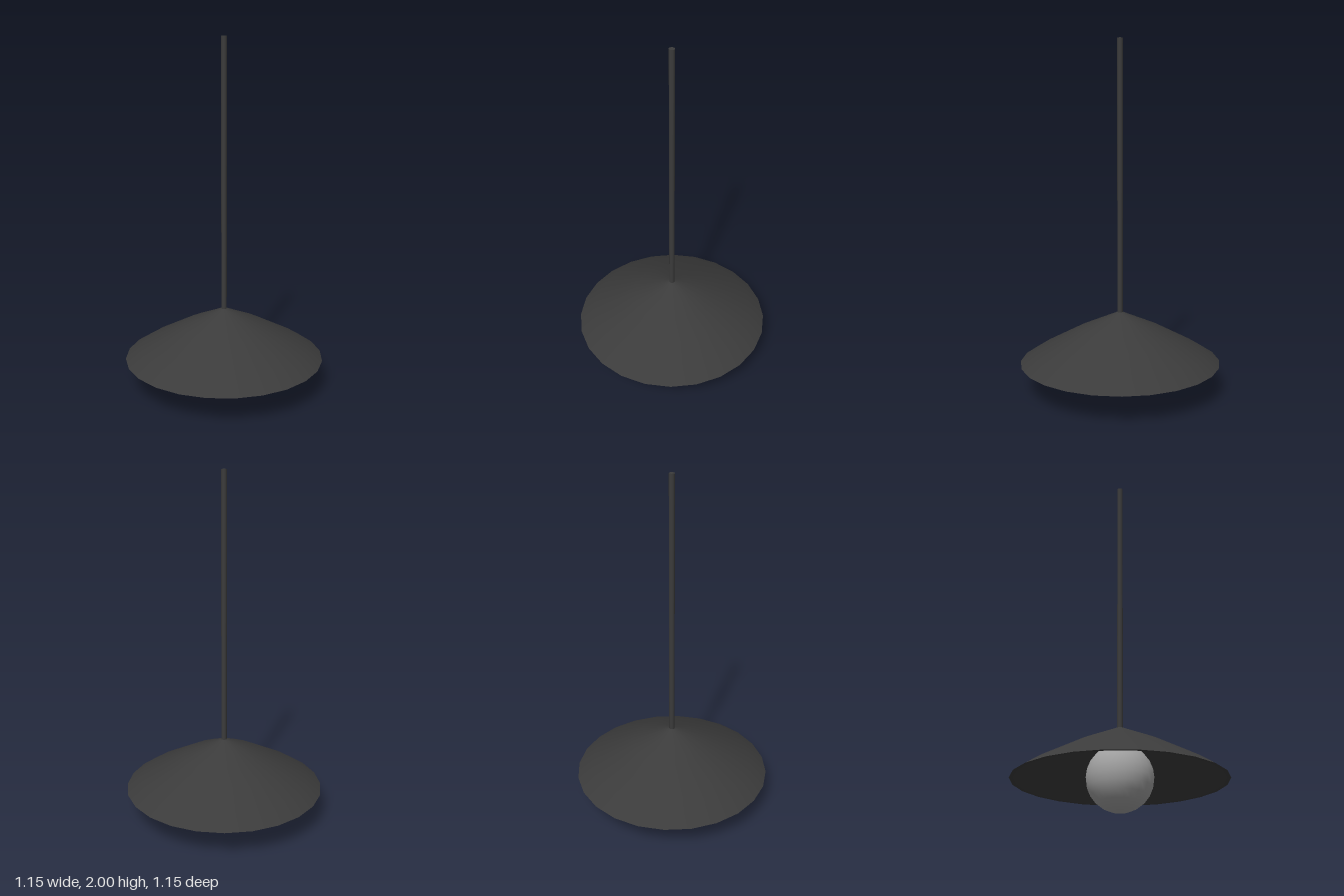
import * as THREE from 'three';

export function createModel() {
  const model = new THREE.Group();
  model.name = 'pendantLamp';

  const black = new THREE.MeshStandardMaterial({ name: 'matte black', color: 0x3b3b3b });
  const glass = new THREE.MeshStandardMaterial({ name: 'grey glass', color: 0xa0a0a0 });

  const add = (parent, name, geometry, material, y = 0) => {
    const mesh = new THREE.Mesh(geometry, material);
    mesh.name = name;
    mesh.position.y = y;
    parent.add(mesh);
  };
  const lathe = (points) => new THREE.LatheGeometry(points.map(([x, y]) => new THREE.Vector2(x, y)), 24);

  // Shade: a gently bowed cone with a thin wall, split at the rim to keep it sharp
  const shade = new THREE.Group();
  shade.name = 'shade';
  model.add(shade);
  add(shade, 'shadeOuter', lathe([[0.575, 0.165], [0.49, 0.22], [0.24, 0.355], [0.016, 0.455], [0, 0.457]]), black);
  add(shade, 'shadeRim', lathe([[0.555, 0.165], [0.575, 0.165]]), black);
  add(shade, 'shadeInner', lathe([[0, 0.445], [0.235, 0.342], [0.48, 0.212], [0.555, 0.165]]), black);

  // Rod from the shade's tip to the ceiling
  add(model, 'rod', new THREE.CylinderGeometry(0.016, 0.016, 1.56, 16), black, 1.22);

  // Globe bulb, with a short socket hidden above it
  add(model, 'bulb', new THREE.SphereGeometry(0.18, 24, 12), glass, 0.18);
  add(model, 'socket', new THREE.CylinderGeometry(0.03, 0.03, 0.09, 16), black, 0.385);

  return model;
}
